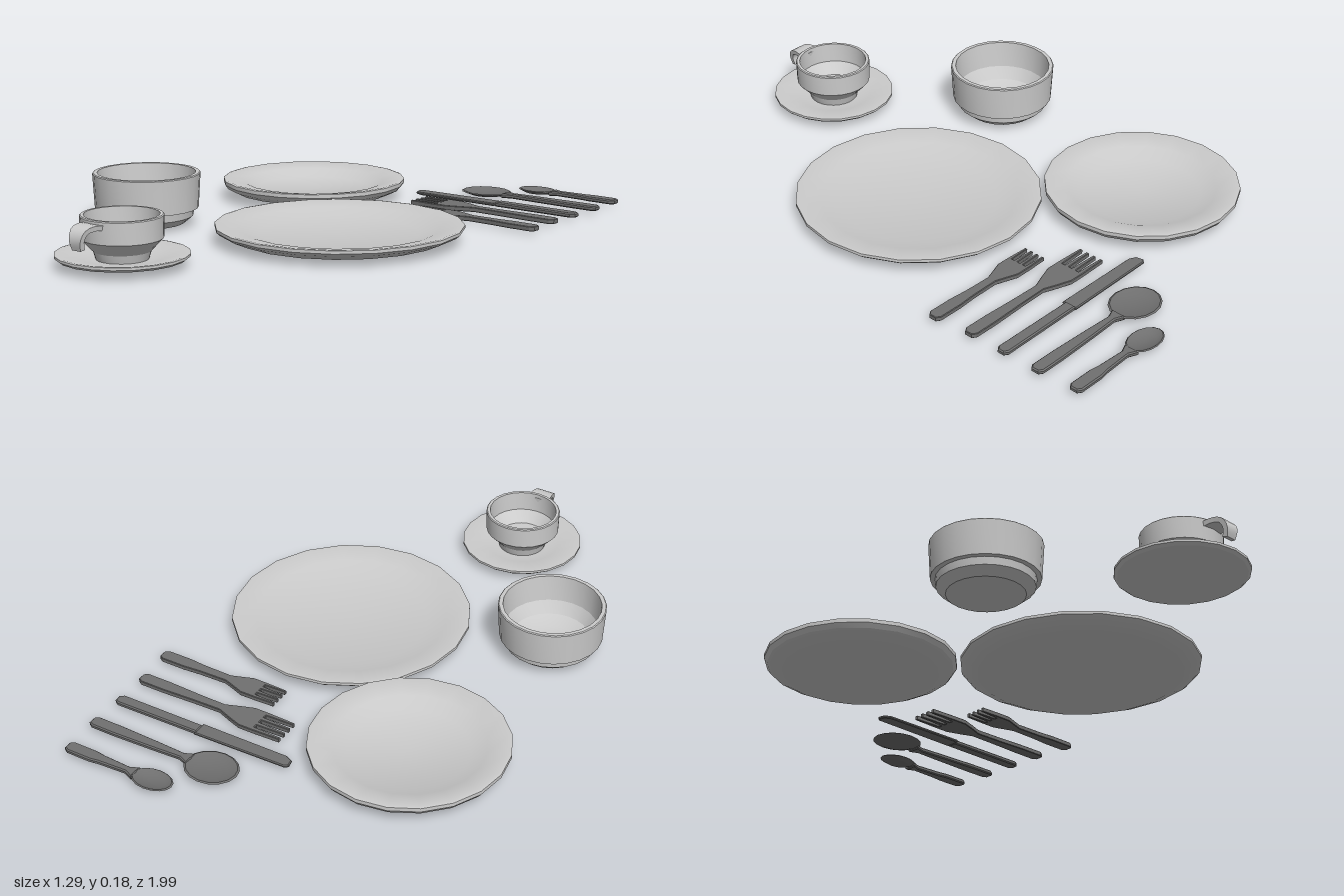
import * as THREE from 'three';
import { toCreasedNormals } from 'three/addons/utils/BufferGeometryUtils.js';

const china = new THREE.MeshStandardMaterial({ color: 0xcccccc, side: THREE.DoubleSide });
const steel = new THREE.MeshStandardMaterial({ color: 0x707070, side: THREE.DoubleSide });

function addMesh(parent, name, geometry, material, x = 0, y = 0, z = 0) {
  const mesh = new THREE.Mesh(toCreasedNormals(geometry, 0.45), material);
  mesh.name = name;
  mesh.position.set(x, y, z);
  parent.add(mesh);
  return mesh;
}

// Closed profile: underside from the centre outwards, then back over the top
function turned(profile, segments = 20) {
  return new THREE.LatheGeometry(profile.map(([r, y]) => new THREE.Vector2(r, y)), segments);
}

// Flat outline in x and z, thickened along y with bevelled edges
function slab(outline, thickness = 0.016, bevel = 0.004) {
  const shape = new THREE.Shape(outline.map(([x, z]) => new THREE.Vector2(x, z)));
  const geo = new THREE.ExtrudeGeometry(shape, {
    depth: thickness - 2 * bevel, bevelEnabled: true, bevelThickness: bevel,
    bevelSize: bevel, bevelOffset: -bevel, bevelSegments: 1,
  });
  return geo.rotateX(Math.PI / 2).translate(0, thickness - bevel, 0);
}

// Mirrors one side of an outline to make a symmetric one
function mirrored(side) {
  return [...side, ...side.map(([x, z]) => [x, -z]).reverse()];
}

// Handle outline half: slim neck, wider rounded end
function handleSide(neck, end, neckWidth = 0.013) {
  return [[neck, neckWidth], [neck + 0.1, 0.018], [end - 0.1, 0.023],
    [end - 0.015, 0.023], [end, 0.013]];
}

function addSpoon(group, name, z, bowlX, rx, rz, end) {
  const spoon = new THREE.Group();
  spoon.name = name;
  spoon.position.set(0, 0.008, z);
  const dish = turned([[0, 0], [0.65, 0.003], [1, 0.014], [0.93, 0.017], [0.6, 0.009], [0, 0.007]], 16);
  dish.scale(rx, 1, rz);
  addMesh(spoon, 'spoonBowl', dish, steel, bowlX);
  addMesh(spoon, 'spoonHandle', slab(mirrored([
    [bowlX + rx * 0.85, 0.026], ...handleSide(bowlX + rx + 0.02, end)])), steel, 0, 0.003, 0);
  group.add(spoon);
}

function addFork(group, name, z, tip, root, shoulder, neck, half, end) {
  const outline = [];
  const w = 2 * half / 6.1;      // tine width plus gap sets the pitch
  for (let i = 0; i < 4; i++) {
    const a = -half + i * (2 * half - w) / 3, b = a + w;
    outline.push([root, a], [tip, a + w * 0.2], [tip, b - w * 0.2], [root, b]);
  }
  const side = [[shoulder, half], [(shoulder + neck) / 2, half * 0.68], ...handleSide(neck, end, 0.016)];
  outline.push(...mirrored(side));
  addMesh(group, name, slab(outline, 0.016, 0.002), steel, 0, 0.009, z);
}

// Hooked cup handle, narrowing from the rim to its tip
function cupHandle() {
  const path = new THREE.CatmullRomCurve3([[0.115, 0.142], [0.15, 0.145], [0.18, 0.137],
    [0.193, 0.112], [0.187, 0.082]].map(([z, y]) => new THREE.Vector3(0, y, z)));
  const n = 10, t = 0.008, outer = [], inner = [];
  for (let i = 0; i <= n; i++) {
    const p = path.getPoint(i / n), d = path.getTangent(i / n);
    outer.push(new THREE.Vector2(p.z - d.y * t, p.y + d.z * t));
    inner.unshift(new THREE.Vector2(p.z + d.y * t, p.y - d.z * t));
  }
  const geo = new THREE.ExtrudeGeometry(new THREE.Shape([...outer, ...inner]), { depth: 1, bevelEnabled: false });
  geo.translate(0, 0, -0.5).rotateY(-Math.PI / 2);
  const pos = geo.attributes.position;
  for (let i = 0; i < pos.count; i++) {
    const drop = THREE.MathUtils.clamp((0.15 - pos.getY(i)) / 0.07, 0, 1);
    const out = THREE.MathUtils.clamp((pos.getZ(i) - 0.115) / 0.08, 0, 1);
    pos.setX(i, pos.getX(i) * (0.084 - 0.022 * out - 0.026 * drop));
  }
  return geo;
}

export function createModel() {
  const model = new THREE.Group();
  model.name = 'tableSetting';

  // Plates
  addMesh(model, 'dinnerPlate', turned([[0, 0], [0.25, 0.003], [0.345, 0.014], [0.393, 0.035],
    [0.405, 0.045], [0.405, 0.055], [0.395, 0.056], [0.325, 0.044], [0.26, 0.026], [0, 0.024]]),
  china, 0.205, 0, 0.08);
  addMesh(model, 'sidePlate', turned([[0, 0.008], [0.2, 0.01], [0.28, 0.024], [0.312, 0.04],
    [0.323, 0.055], [0.323, 0.068], [0.315, 0.07], [0.245, 0.057], [0.195, 0.034], [0, 0.032]]),
  china, -0.32, 0, -0.435);

  // Bowl with a stepped foot
  addMesh(model, 'bowl', turned([[0, 0.01], [0.125, 0.01], [0.155, 0.035], [0.158, 0.06], [0.173, 0.062],
    [0.18, 0.178], [0.177, 0.181], [0.164, 0.181], [0.155, 0.09], [0.13, 0.05], [0.085, 0.03], [0, 0.03]], 24),
  china, -0.44, 0, 0.3);

  // Cup and saucer
  const cup = new THREE.Group();
  cup.name = 'cupAndSaucer';
  cup.position.set(-0.08, 0, 0.785);
  addMesh(cup, 'saucer', turned([[0, 0.01], [0.12, 0.011], [0.2, 0.026], [0.21, 0.034], [0.21, 0.042],
    [0.202, 0.043], [0.13, 0.03], [0.095, 0.024], [0, 0.024]]), china);
  addMesh(cup, 'cup', turned([[0, 0.024], [0.082, 0.024], [0.09, 0.05], [0.128, 0.09], [0.13, 0.16],
    [0.127, 0.163], [0.117, 0.163], [0.114, 0.095], [0.08, 0.058], [0, 0.055]], 24), china);
  addMesh(cup, 'cupHandle', cupHandle(), china);
  model.add(cup);

  // Cutlery
  addSpoon(model, 'teaspoon', -0.95, 0.295, 0.073, 0.048, 0.62);
  addSpoon(model, 'soupSpoon', -0.81, 0.17, 0.092, 0.078, 0.63);
  addMesh(model, 'knifeBlade', slab([[-0.03, -0.68], [-0.02, -0.69], [0.315, -0.697],
    [0.315, -0.643], [0, -0.643], [-0.025, -0.655]], 0.01, 0.003), steel, 0, 0.012, 0);
  addMesh(model, 'knifeHandle', slab([[0.31, -0.692], [0.615, -0.696], [0.63, -0.686],
    [0.63, -0.664], [0.615, -0.653], [0.31, -0.653]]), steel, 0, 0.009, 0);
  addFork(model, 'dinnerFork', -0.545, 0.065, 0.165, 0.215, 0.31, 0.05, 0.63);
  addFork(model, 'dessertFork', -0.408, 0.18, 0.255, 0.305, 0.38, 0.042, 0.643);

  return model;
}
